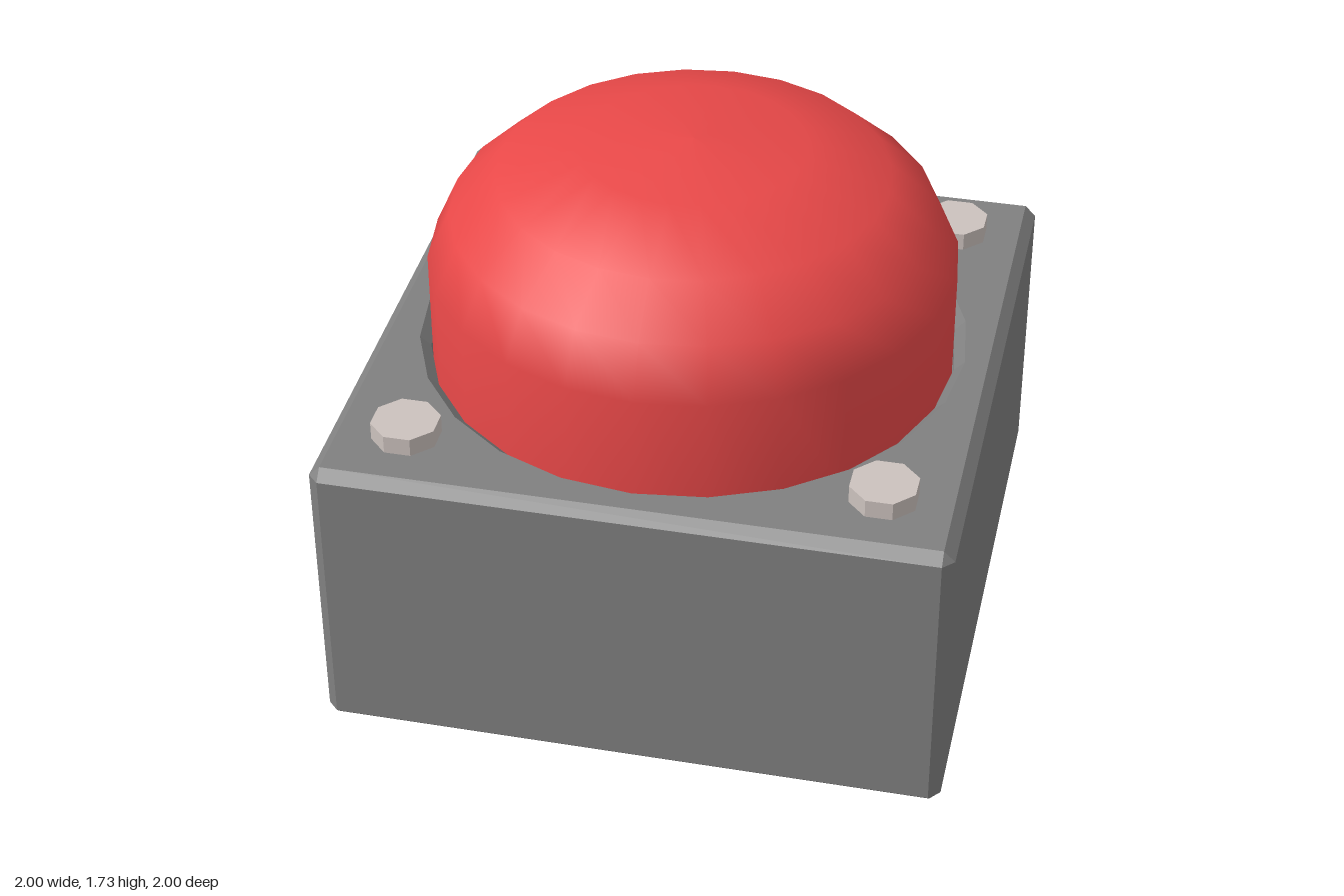
import * as THREE from 'three';

const SIZE = 1, BEVEL = 0.035, TOP = 1, SIDES = 24;
const RIM = 0.89, RECESS = 0.855, FLOOR = 0.9;

// Square ring of 8 points at height y; corners are cut when reach > inset.
function squareRing(y, reach, inset) {
  const ring = [];
  for (const [sx, sz] of [[1, 1], [-1, 1], [-1, -1], [1, -1]]) {
    const a = new THREE.Vector3(sx * reach, y, sz * inset);
    const b = new THREE.Vector3(sx * inset, y, sz * reach);
    ring.push(...(sx * sz > 0 ? [a, b] : [b, a]));
  }
  return ring;
}

// Bevelled walls joining the rings from bottom to top
function wallGeometry(rings) {
  const points = [];
  for (let r = 0; r < rings.length - 1; r++) {
    const low = rings[r], high = rings[r + 1];
    for (let i = 0; i < 8; i++) {
      const j = (i + 1) % 8;
      for (const t of [[low[i], high[i], high[j]], [low[i], high[j], low[j]]]) {
        const area = new THREE.Triangle(...t).getArea();
        if (area > 1e-8) points.push(...t);
      }
    }
  }
  const geometry = new THREE.BufferGeometry().setFromPoints(points);
  geometry.computeVertexNormals();
  return geometry;
}

function lathe(profile) {
  return new THREE.LatheGeometry(profile.map(([x, y]) => new THREE.Vector2(x, y)), SIDES);
}

export function createModel() {
  const model = new THREE.Group();
  model.name = 'pushButton';
  const housing = new THREE.MeshStandardMaterial({ color: 0x808080, flatShading: true });
  const red = new THREE.MeshStandardMaterial({ color: 0xe84848 });
  const metal = new THREE.MeshStandardMaterial({ color: 0xccc2be, flatShading: true });

  const add = (name, geometry, material, parent = model) => {
    const mesh = new THREE.Mesh(geometry, material);
    mesh.name = name;
    parent.add(mesh);
    return mesh;
  };

  // Housing: bevelled walls, closed bottom, top plate with a round opening
  const base = new THREE.Group();
  base.name = 'housing';
  model.add(base);
  const inner = SIZE - BEVEL;
  add('housingWalls', wallGeometry([
    squareRing(0, inner, inner),
    squareRing(BEVEL, SIZE, inner),
    squareRing(TOP - BEVEL, SIZE, inner),
    squareRing(TOP, inner, inner),
  ]), housing, base);
  add('housingBottom', new THREE.PlaneGeometry(2 * inner, 2 * inner).rotateX(Math.PI / 2), housing, base);

  const plate = new THREE.Shape([[-1, -1], [1, -1], [1, 1], [-1, 1]]
    .map(([x, y]) => new THREE.Vector2(x * inner, y * inner)));
  const opening = [];
  for (let i = 0; i < SIDES; i++) {
    const a = -i / SIDES * Math.PI * 2;
    opening.push(new THREE.Vector2(Math.cos(a) * RIM, Math.sin(a) * RIM));
  }
  plate.holes.push(new THREE.Path(opening));
  add('topPlate', new THREE.ShapeGeometry(plate).rotateX(-Math.PI / 2).translate(0, TOP, 0), housing, base);

  // Bevelled recess that the button sits in
  add('recess', lathe([[RIM, TOP], [RECESS, TOP - BEVEL], [RECESS, FLOOR], [0, FLOOR]]), housing, base);

  // Domed button
  add('buttonDome', lathe([
    [0.85, FLOOR], [0.85, 1.31], [0.775, 1.475], [0.625, 1.61], [0.36, 1.705], [0, 1.727],
  ]), red);

  // Octagonal bolt heads in the corners
  const bolt = new THREE.CylinderGeometry(0.11, 0.11, 0.06, 8).rotateY(Math.PI / 8);
  for (const x of [-0.75, 0.75]) {
    for (const z of [-0.75, 0.75]) {
      const name = (z > 0 ? 'front' : 'back') + (x > 0 ? 'Left' : 'Right') + 'Bolt';
      add(name, bolt, metal).position.set(x, TOP + 0.03, z);
    }
  }
  return model;
}
